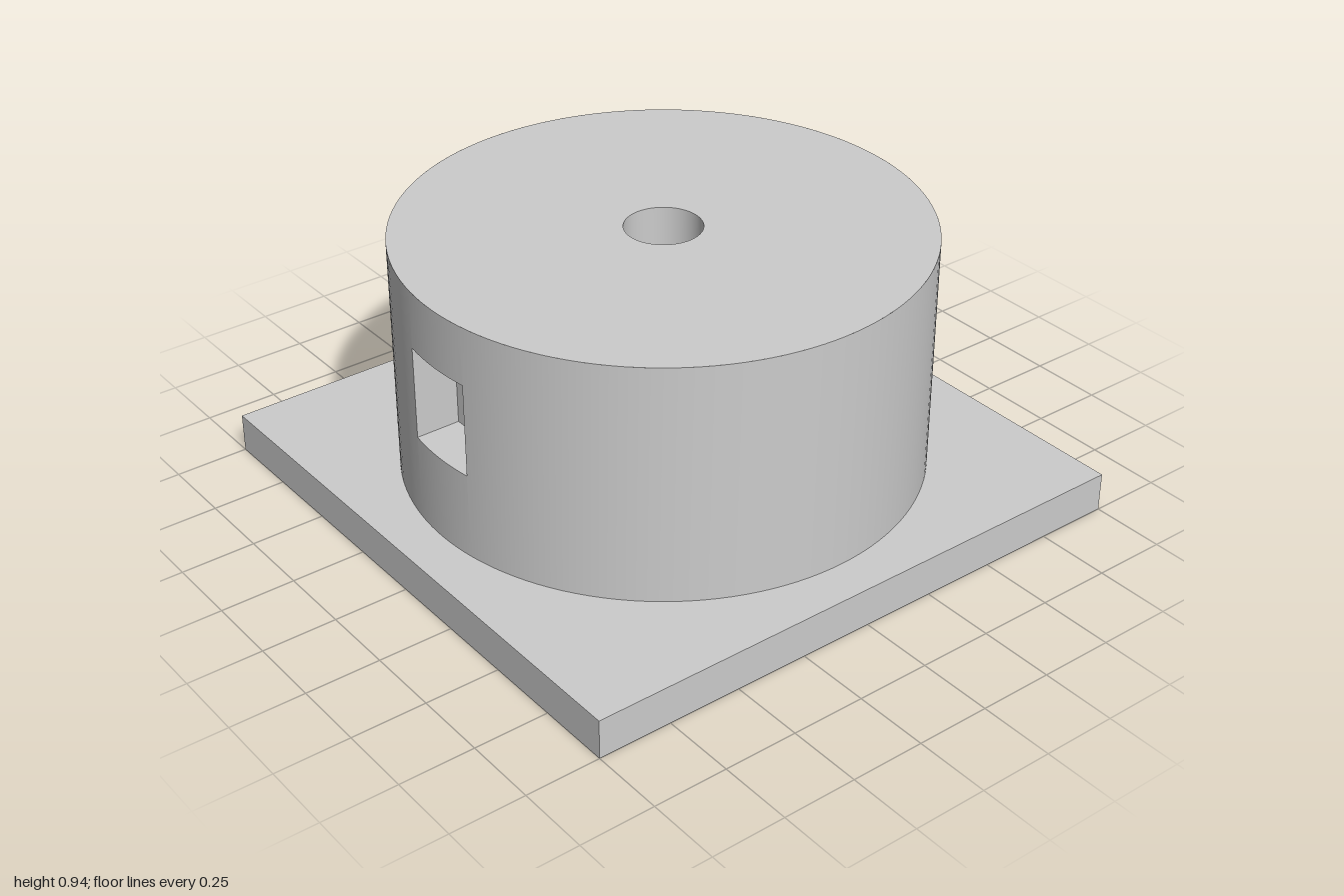
import * as THREE from 'three';
import { toCreasedNormals } from 'three/addons/utils/BufferGeometryUtils.js';

const R = 0.855, BASE = 0.133, TOP = 0.937;   // drum radius, underside and top
const MID = 0.58;                             // height of the pocket centres
const BORE = 0.125, PORT = 0.055;             // top bore and side port radii

const grey = new THREE.MeshStandardMaterial({ color: 0xcccccc, side: THREE.DoubleSide });
grey.name = 'plain grey';

function add(parent, name, geometry) {
  const mesh = new THREE.Mesh(geometry, grey);
  mesh.name = name;
  parent.add(mesh);
  return mesh;
}

// Geometry from a list of four-cornered faces, smooth except at sharp edges
function fromQuads(quads) {
  const points = quads.flatMap(([a, b, c, d]) => [a, b, c, a, c, d]);
  return toCreasedNormals(new THREE.BufferGeometry().setFromPoints(points), 0.6);
}

// Lower edge of an opening, left to right, as [u, low, high] columns
const N = 8, M = 40;
const squareColumns = Array.from({ length: N + 1 }, (_, i) => [-0.135 + 0.27 * i / N, 0.424, 0.739]);
const roundColumns = Array.from({ length: M + 1 }, (_, i) => {
  const t = Math.PI * i / M, h = 0.333 * Math.sin(t);
  return [-0.333 * Math.cos(t), MID - h, MID + h];
});

const openings = [
  { name: 'roundPocket', turn: -Math.PI / 2, columns: roundColumns, floor: 0.677, port: true },
  { name: 'frontSquarePocket', turn: 0, columns: squareColumns, floor: 0.695 },
  { name: 'backSquarePocket', turn: Math.PI, columns: squareColumns, floor: 0.695 },
];

// Curved drum wall, leaving the openings free
function wallGeometry() {
  const spans = openings.map(o => o.columns.map(([u, lo, hi]) => [o.turn + Math.asin(u / R), lo, hi]));
  const columns = [];
  spans.forEach((span, i) => {
    columns.push(...span);
    const from = span.at(-1)[0];
    const to = i + 1 < spans.length ? spans[i + 1][0][0] : spans[0][0][0] + 2 * Math.PI;
    const steps = Math.ceil((to - from) / 0.05);
    for (let k = 0; k <= steps; k++) columns.push([from + (to - from) * k / steps, MID, MID]);
  });
  const at = (a, y) => new THREE.Vector3(R * Math.sin(a), y, R * Math.cos(a));
  const quads = [];
  for (let i = 0; i + 1 < columns.length; i++) {
    const [a, lo, hi] = columns[i], [b, lo2, hi2] = columns[i + 1];
    if (b - a < 1e-6) continue;
    quads.push([at(a, BASE), at(b, BASE), at(b, lo2), at(a, lo)]);
    quads.push([at(a, hi), at(b, hi2), at(b, TOP), at(a, TOP)]);
  }
  return fromQuads(quads);
}

// Recess with side walls and a flat floor, facing +z before it is turned
function makePocket({ name, turn, columns, floor, port }) {
  const group = new THREE.Group();
  group.name = name;
  const low = columns.map(([u, lo]) => new THREE.Vector2(u, lo));
  const high = columns.map(([u, , hi]) => new THREE.Vector2(u, hi)).reverse();
  const outline = port ? [...low, ...high.slice(1, -1)] : [...low, ...high];

  const outer = p => new THREE.Vector3(p.x, p.y, Math.sqrt(R * R - p.x * p.x));
  const inner = p => new THREE.Vector3(p.x, p.y, floor);
  add(group, 'pocketSides', fromQuads(outline.map((p, i) => {
    const q = outline[(i + 1) % outline.length];
    return [outer(p), outer(q), inner(q), inner(p)];
  })));

  const shape = new THREE.Shape(outline);
  if (port) {
    shape.holes.push(new THREE.Path().absarc(0, MID, PORT, 0, 2 * Math.PI, true));
    // Narrow port running in towards the central bore
    const end = BORE + 0.01, length = floor - end;
    const tube = add(group, 'portSides', new THREE.CylinderGeometry(PORT, PORT, length, 32, 1, true));
    tube.rotation.x = Math.PI / 2;
    tube.position.set(0, MID, end + length / 2);
    add(group, 'portEnd', new THREE.CircleGeometry(PORT, 32)).position.set(0, MID, end);
  }
  add(group, 'pocketFloor', new THREE.ShapeGeometry(shape, 24)).position.z = floor;
  group.rotation.y = turn;
  return group;
}

export function createModel() {
  const model = new THREE.Group();
  model.name = 'drumOnPlate';

  // Square base plate
  add(model, 'basePlate', new THREE.BoxGeometry(2, BASE, 2)).position.y = BASE / 2;

  // Drum with its pockets
  add(model, 'drumWall', wallGeometry());
  for (const opening of openings) model.add(makePocket(opening));

  // Drum top and the central bore
  const top = add(model, 'drumTop', new THREE.RingGeometry(BORE, R, 128));
  top.rotation.x = -Math.PI / 2;
  top.position.y = TOP;
  const bore = add(model, 'boreSides', new THREE.CylinderGeometry(BORE, BORE, TOP - BASE, 128, 1, true));
  bore.position.y = (TOP + BASE) / 2;

  return model;
}
